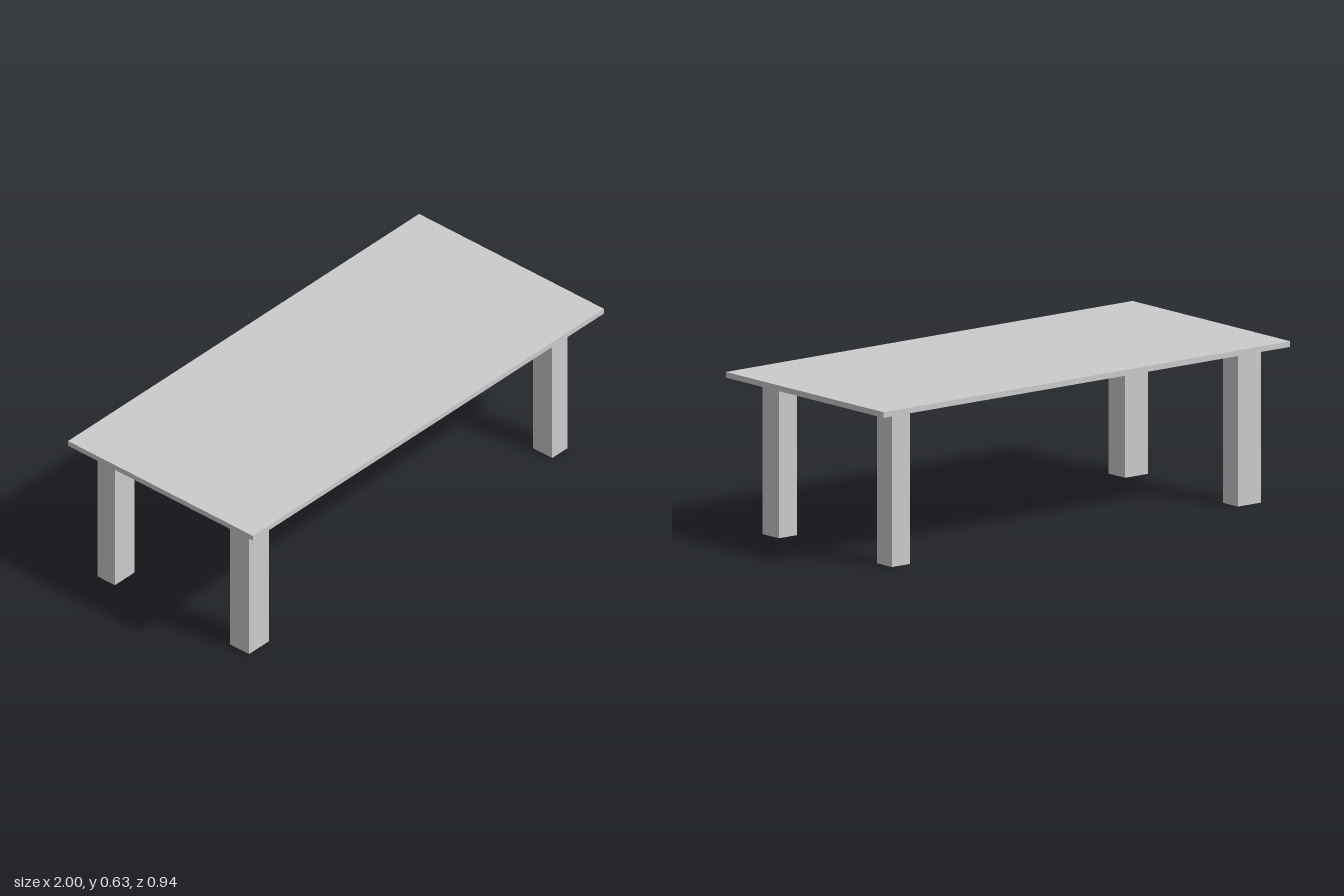
import * as THREE from 'three';

const material = new THREE.MeshStandardMaterial({ color: 0xcccccc, flatShading: true });

// Box given by its extents along each axis
function block(name, [x0, x1], [y0, y1], [z0, z1]) {
  const mesh = new THREE.Mesh(new THREE.BoxGeometry(x1 - x0, y1 - y0, z1 - z0), material);
  mesh.position.set((x0 + x1) / 2, (y0 + y1) / 2, (z0 + z1) / 2);
  mesh.name = name;
  return mesh;
}

export function createModel() {
  const table = new THREE.Group();
  table.name = 'table';
  const underside = 0.607;

  // Thin rectangular top
  table.add(block('tableTop', [-1, 1], [underside, 0.629], [-0.469, 0.469]));

  // Four legs; the right pair is wider than the left pair
  const sides = { Right: [-0.924, -0.811], Left: [0.803, 0.891] };
  const ends = { front: [0.284, 0.382], back: [-0.387, -0.299] };
  for (const [side, x] of Object.entries(sides)) {
    for (const [end, z] of Object.entries(ends)) {
      table.add(block(`${end}${side}Leg`, x, [0, underside], z));
    }
  }
  return table;
}
